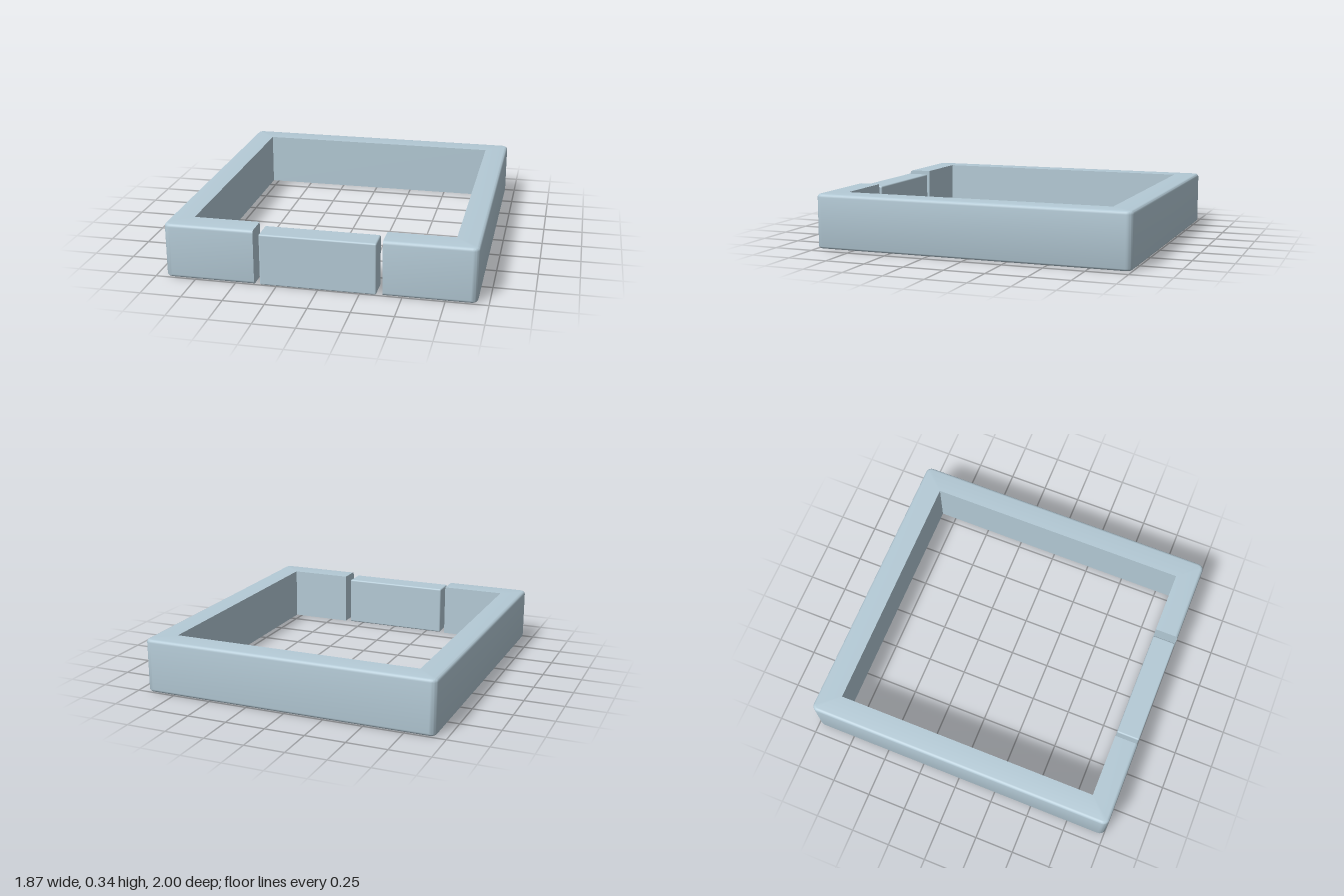
import * as THREE from 'three';
import { toCreasedNormals } from 'three/addons/utils/BufferGeometryUtils.js';
import { RoundedBoxGeometry } from 'three/addons/geometries/RoundedBoxGeometry.js';

const HX = 0.936, HZ = 1;        // outer half sizes
const IX = 0.79, IZ = 0.85;      // inner half sizes
const GAP = 0.385;               // half width of the front opening
const H = 0.34;                  // wall height
const CORNER = 0.04, EDGE = 0.02; // plan corner radius, outer edge fillet

// Stations round the frame: outer point, outward normal and inner point
function frameStations() {
  const list = [];
  const add = (x, z, nx, nz, ix, iz) => list.push({ x, z, nx, nz, ix, iz });
  add(GAP, HZ, 0, 1, GAP, IZ);
  const steps = 8;
  for (const [sx, sz, start] of [[1, 1, 90], [1, -1, 0], [-1, -1, -90], [-1, 1, -180]]) {
    for (let i = 0; i <= steps; i++) {
      const a = THREE.MathUtils.degToRad(start - 90 * i / steps);
      const nx = Math.cos(a), nz = Math.sin(a);
      add(sx * (HX - CORNER) + CORNER * nx, sz * (HZ - CORNER) + CORNER * nz, nx, nz, sx * IX, sz * IZ);
    }
  }
  add(-GAP, HZ, 0, 1, -GAP, IZ);
  return list;
}

// Wall section: square inside, filleted along the outer top and bottom edges
function sectionAt(s) {
  const pts = [new THREE.Vector3(s.ix, 0, s.iz)];
  const steps = 5;
  for (const [cy, start] of [[EDGE, -90], [H - EDGE, 0]]) {
    for (let i = 0; i <= steps; i++) {
      const a = THREE.MathUtils.degToRad(start + 90 * i / steps);
      const d = EDGE * (Math.cos(a) - 1);
      pts.push(new THREE.Vector3(s.x + s.nx * d, cy + EDGE * Math.sin(a), s.z + s.nz * d));
    }
  }
  pts.push(new THREE.Vector3(s.ix, H, s.iz));
  return pts;
}

function frameGeometry() {
  const rings = frameStations().map(sectionAt);
  const n = rings[0].length, pos = [];
  const tri = (a, b, c) => {
    // skip the collapsed triangles at the sharp inner corners
    if (new THREE.Triangle(a, b, c).getArea() < 1e-9) return;
    for (const p of [a, b, c]) pos.push(p.x, p.y, p.z);
  };
  for (let i = 0; i < rings.length - 1; i++) {
    for (let j = 0; j < n; j++) {
      const k = (j + 1) % n, A = rings[i], B = rings[i + 1];
      tri(A[j], B[j], B[k]);
      tri(A[j], B[k], A[k]);
    }
  }
  // flat ends at the opening
  const first = rings[0], last = rings[rings.length - 1];
  for (let j = 1; j < n - 1; j++) {
    tri(first[0], first[j], first[j + 1]);
    tri(last[0], last[j + 1], last[j]);
  }
  const geo = new THREE.BufferGeometry();
  geo.setAttribute('position', new THREE.Float32BufferAttribute(pos, 3));
  return toCreasedNormals(geo, Math.PI / 6);
}

export function createModel() {
  const model = new THREE.Group();
  const material = new THREE.MeshStandardMaterial({ color: 0xb4cad6 });

  const frame = new THREE.Mesh(frameGeometry(), material);
  frame.name = 'frame';

  // Separate block filling the front opening, slightly lower than the frame
  const block = new THREE.Mesh(new RoundedBoxGeometry(0.7, 0.32, 0.148, 4, 0.01), material);
  block.name = 'frontBlock';
  block.position.set(-0.002, 0.16, 0.924);

  model.add(frame, block);
  return model;
}
